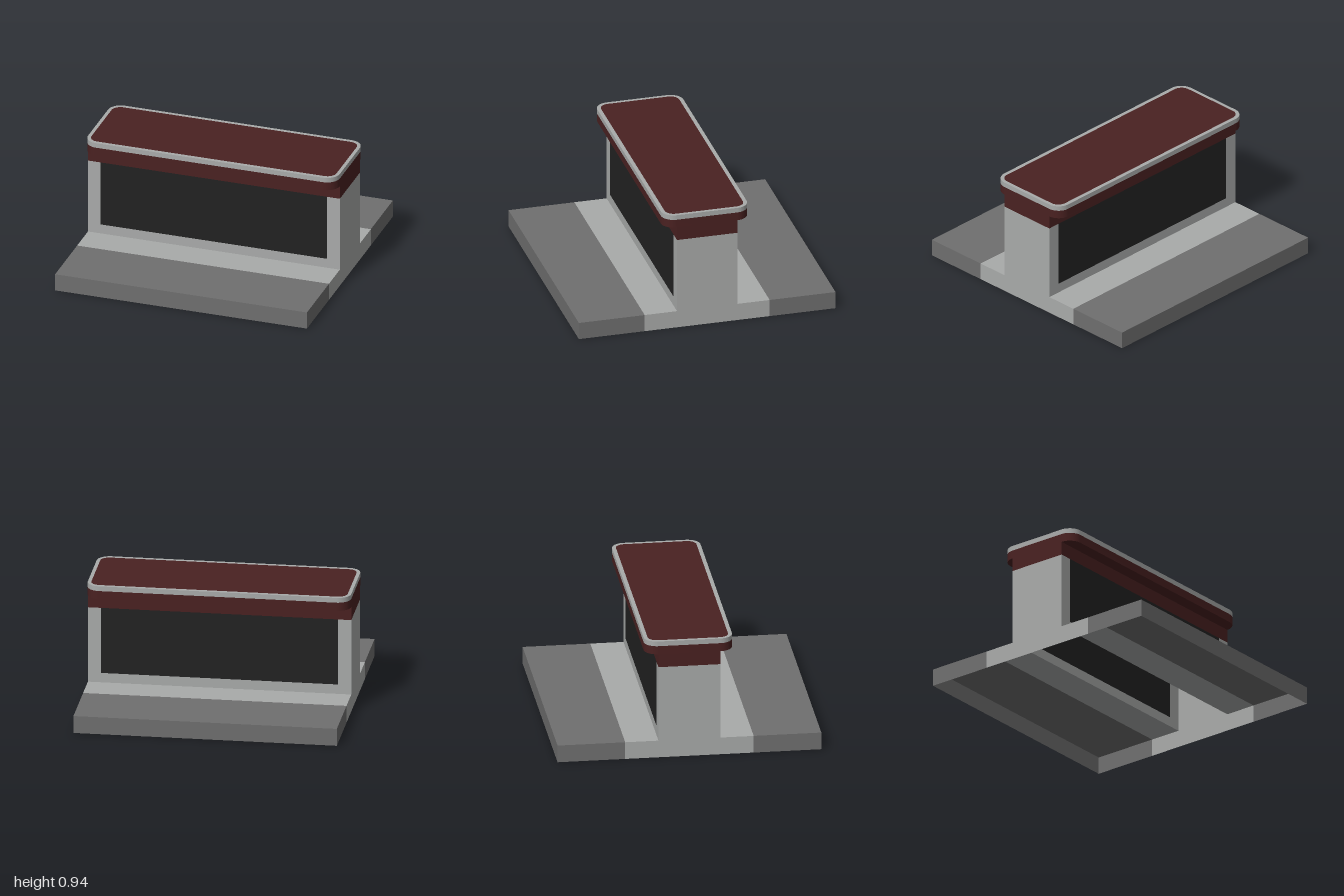
import * as THREE from 'three';
import { toCreasedNormals } from 'three/addons/utils/BufferGeometryUtils.js';

const material = (name, color) => {
  const m = new THREE.MeshStandardMaterial({ color, side: THREE.DoubleSide });
  m.name = name;
  return m;
};

// Rounded rectangle lying around the origin, half sizes hx and hy
function roundedRect(Type, hx, hy, r) {
  const s = new Type();
  s.moveTo(hx - r, -hy);
  s.absarc(hx - r, -hy + r, r, -Math.PI / 2, 0);
  s.absarc(hx - r, hy - r, r, 0, Math.PI / 2);
  s.absarc(-hx + r, hy - r, r, Math.PI / 2, Math.PI);
  s.absarc(-hx + r, -hy + r, r, Math.PI, Math.PI * 1.5);
  s.closePath();
  return s;
}

export function createModel() {
  const group = new THREE.Group();
  const stone = material('light grey', 0xa9abaa);
  const paving = material('dark grey', 0x6f6f6f);
  const black = material('black', 0x222222);
  const red = material('dark red', 0x4a2121);

  const BASE = 0.135, BAND = 0.487, WALL = 0.235, TRIM = 0.73, CAP = 0.835;
  const PANEL_X = 0.9, PANEL_Y = 0.21;

  const add = (name, geometry, mat) => {
    const mesh = new THREE.Mesh(geometry, mat);
    mesh.name = name;
    group.add(mesh);
  };
  // Upright sheet facing front (s = 1) or back (s = -1)
  const frontSheet = (name, mat, x0, x1, y0, y1, z, s) => {
    const g = new THREE.PlaneGeometry(x1 - x0, y1 - y0);
    if (s < 0) g.rotateY(Math.PI);
    add(name, g.translate((x0 + x1) / 2, (y0 + y1) / 2, z * s), mat);
  };
  // Upright sheet facing left (s = 1) or right (s = -1)
  const endSheet = (name, mat, z0, z1, y0, y1, s) => {
    const g = new THREE.PlaneGeometry(z1 - z0, y1 - y0).rotateY(s * Math.PI / 2);
    add(name, g.translate(s, (y0 + y1) / 2, (z0 + z1) / 2), mat);
  };
  // Flat sheet facing up across the full width
  const floorSheet = (name, mat, z0, z1, y) => {
    const g = new THREE.PlaneGeometry(2, z1 - z0).rotateX(-Math.PI / 2);
    add(name, g.translate(0, y, (z0 + z1) / 2), mat);
  };

  for (const s of [1, -1]) {
    // Hollow base, open underneath
    frontSheet('baseEdge', paving, -1, 1, 0, BASE, 1, s);
    floorSheet('basePaving', paving, s > 0 ? BAND : -1, s > 0 ? 1 : -BAND, BASE);
    floorSheet('baseBand', stone, s > 0 ? WALL : -BAND, s > 0 ? BAND : -WALL, BASE);
    endSheet('baseEndFront', paving, BAND, 1, 0, BASE, s);
    endSheet('baseEndBack', paving, -1, -BAND, 0, BASE, s);
    endSheet('baseEndBand', stone, -BAND, BAND, 0, BASE, s);

    // Wall faces: stone frame around a black panel, red trim above
    frontSheet('wallSill', stone, -1, 1, BASE, PANEL_Y, WALL, s);
    frontSheet('wallPost', stone, -1, -PANEL_X, PANEL_Y, TRIM, WALL, s);
    frontSheet('wallPost', stone, PANEL_X, 1, PANEL_Y, TRIM, WALL, s);
    frontSheet('wallPanel', black, -PANEL_X, PANEL_X, PANEL_Y, TRIM, WALL, s);
    frontSheet('wallTrim', red, -1, 1, TRIM, CAP, WALL, s);
    endSheet('wallEnd', stone, -WALL, WALL, BASE, TRIM, s);
    endSheet('wallEndTrim', red, -WALL, WALL, TRIM, CAP, s);
  }

  // Rounded cap: red slab, light rim and red inlay flush with the rim
  const slab = (name, shape, y0, y1, mat) => {
    const g = new THREE.ExtrudeGeometry(shape, { depth: y1 - y0, bevelEnabled: false, curveSegments: 10 });
    add(name, toCreasedNormals(g.rotateX(-Math.PI / 2).translate(0, y0, 0), 0.6), mat);
  };
  slab('capSlab', roundedRect(THREE.Shape, 1, 0.335, 0.1), CAP, 0.9, red);
  const rim = roundedRect(THREE.Shape, 1, 0.335, 0.1);
  rim.holes.push(roundedRect(THREE.Path, 0.973, 0.305, 0.07));
  slab('capRim', rim, 0.9, 0.938, stone);
  slab('capInlay', roundedRect(THREE.Shape, 0.973, 0.305, 0.07), 0.9, 0.938, red);

  return group;
}
